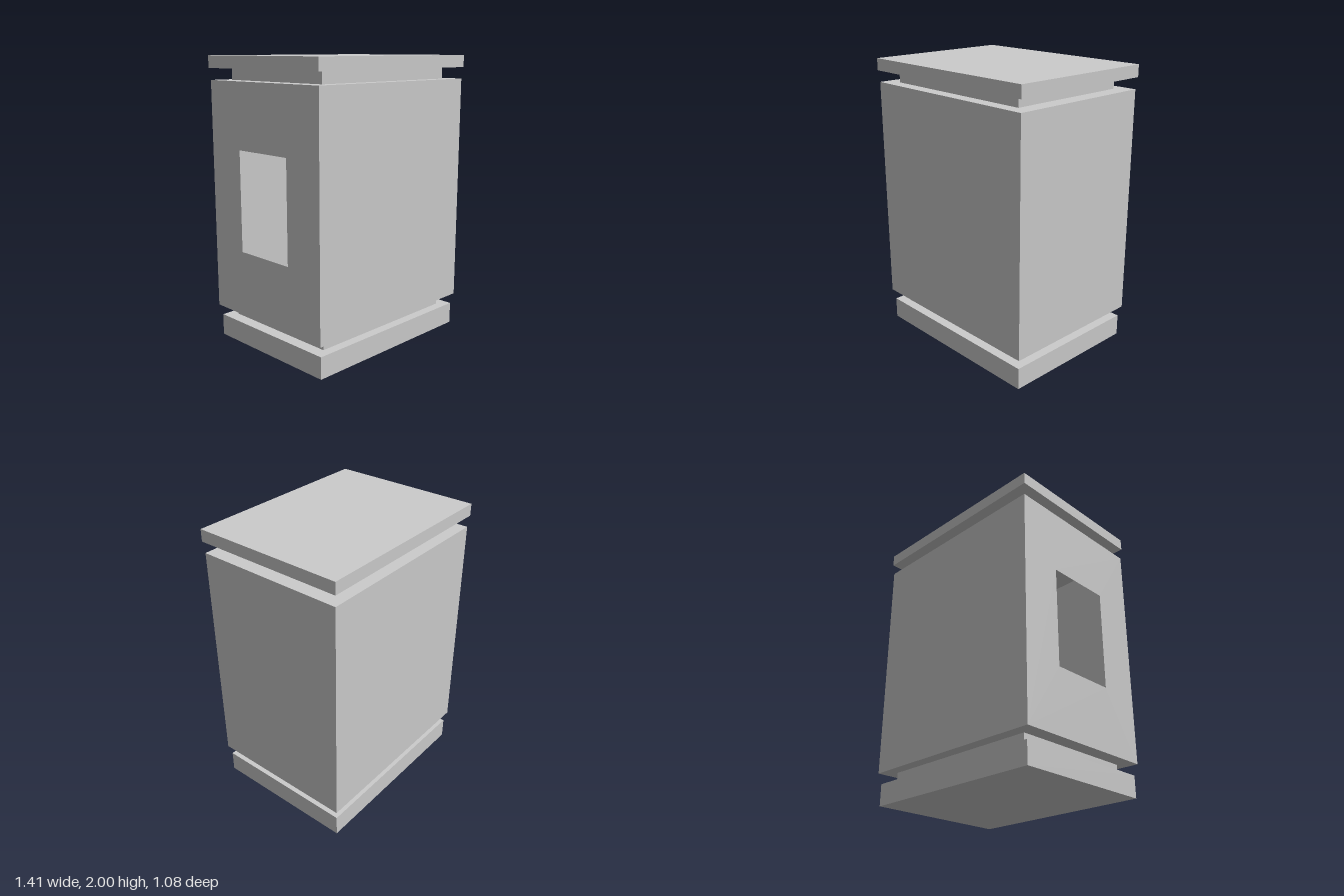
import * as THREE from 'three';

export function createModel() {
  const model = new THREE.Group();
  const solid = new THREE.MeshStandardMaterial({ color: 0xcccccc, flatShading: true });
  const thin = new THREE.MeshStandardMaterial({ color: 0xcccccc, flatShading: true, side: THREE.DoubleSide });

  const add = (parent, name, geometry, material) => {
    const mesh = new THREE.Mesh(geometry, material);
    mesh.name = name;
    parent.add(mesh);
    return mesh;
  };

  // Stacked slabs: name, half width, half depth, bottom, top
  const slabs = [
    ['base', 0.677, 0.516, 0, 0.152],
    ['lowerNeck', 0.592, 0.449, 0.152, 0.228],
    ['upperNeck', 0.586, 0.443, 1.836, 1.916],
    ['lid', 0.707, 0.54, 1.916, 2],
  ];
  for (const [name, hx, hz, y0, y1] of slabs) {
    add(model, name, new THREE.BoxGeometry(2 * hx, y1 - y0, 2 * hz), solid).position.y = (y0 + y1) / 2;
  }

  // Hollow thin-walled body, with its right wall left out
  const hx = 0.697, hz = 0.532, y0 = 0.228, y1 = 1.836;
  const body = new THREE.Group();
  body.name = 'body';
  model.add(body);
  const shell = new THREE.BoxGeometry(2 * hx, y1 - y0, 2 * hz);
  const index = Array.from(shell.index.array);
  index.splice(6, 6);
  shell.setIndex(index);
  shell.clearGroups();
  add(body, 'bodyShell', shell, thin).position.y = (y0 + y1) / 2;

  // Right wall with a rectangular opening
  const rect = (Type, a, b, c, d) => new Type([
    new THREE.Vector2(a, b), new THREE.Vector2(c, b), new THREE.Vector2(c, d), new THREE.Vector2(a, d),
  ]);
  const wall = rect(THREE.Shape, -hz, y0, hz, y1);
  wall.holes.push(rect(THREE.Path, -0.235, 0.685, 0.235, 1.385));
  const opening = add(body, 'rightWallWithOpening', new THREE.ShapeGeometry(wall), thin);
  opening.rotation.y = -Math.PI / 2;
  opening.position.x = -hx;

  return model;
}
